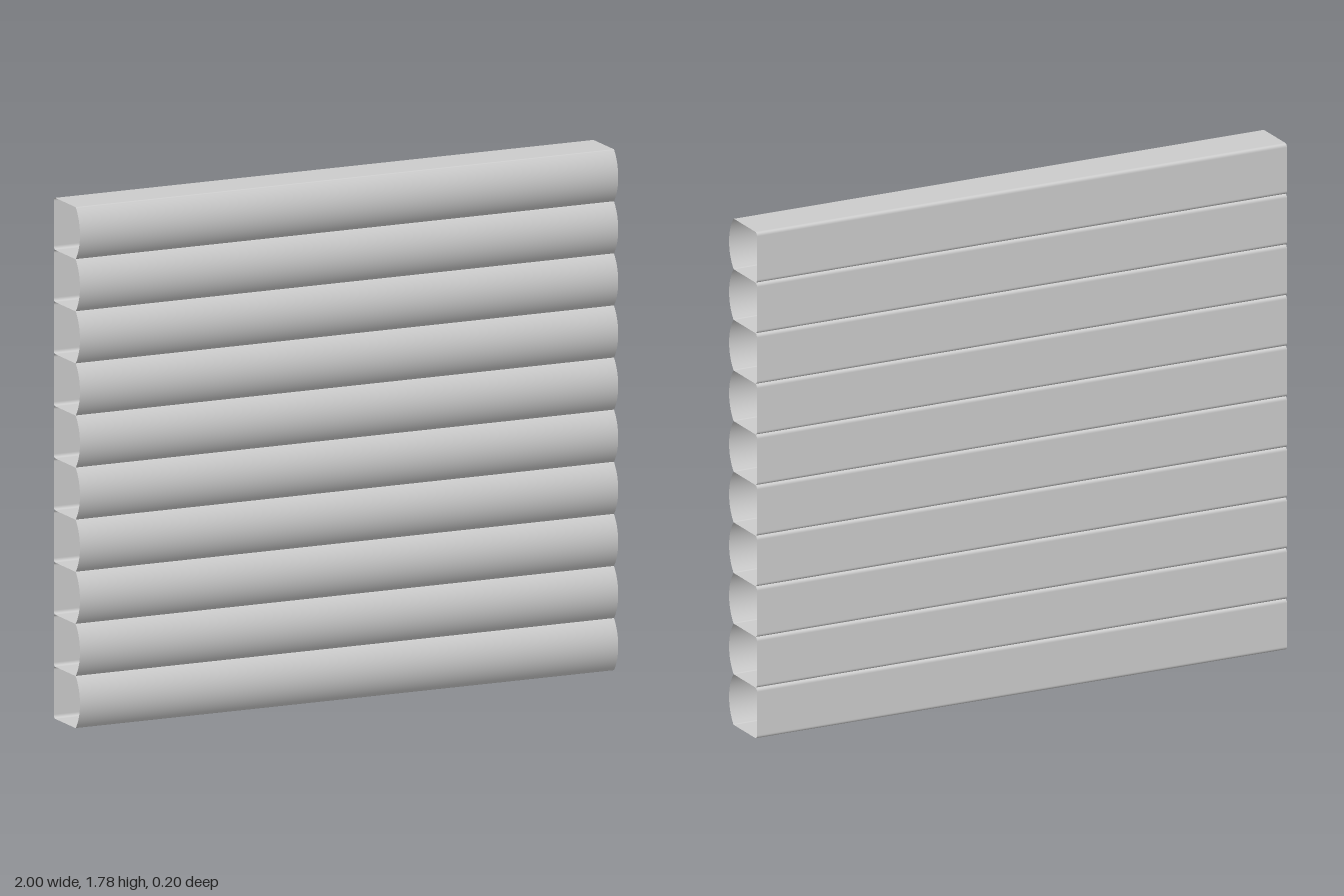
import * as THREE from 'three';

const COUNT = 10, PITCH = 0.1785, HALF = PITCH / 2, BACK = -0.1, R = 0.013;

// Closed slat cross-section: shape x is depth (z), shape y is height
function slatProfile() {
  const s = new THREE.Shape();
  const chord = HALF - 0.003, rise = 0.03;
  const radius = (chord * chord + rise * rise) / (2 * rise);
  const a = Math.asin(chord / radius);
  s.moveTo(BACK + R, -HALF);
  s.lineTo(0.064, -HALF);
  s.quadraticCurveTo(0.068, -HALF, 0.07, -chord);
  s.absarc(0.1 - radius, 0, radius, -a, a, false); // bulging front
  s.quadraticCurveTo(0.068, HALF, 0.064, HALF);
  s.lineTo(BACK + R, HALF);
  s.quadraticCurveTo(BACK, HALF, BACK, HALF - R);
  s.lineTo(BACK, -HALF + R);
  s.quadraticCurveTo(BACK, -HALF, BACK + R, -HALF);
  const pts = s.getPoints(10);
  // drop repeated points so the loop welds smoothly
  return pts.filter((p, i) => p.distanceTo(pts[(i + 1) % pts.length]) > 1e-5);
}

// Open-ended tube along x with the slat cross-section
function slatGeometry() {
  const profile = slatProfile(), n = profile.length;
  const positions = [], index = [];
  for (const p of profile) positions.push(-1, p.y, p.x, 1, p.y, p.x);
  for (let i = 0; i < n; i++) {
    const a = 2 * i, b = 2 * ((i + 1) % n);
    index.push(a, a + 1, b + 1, a, b + 1, b);
  }
  const g = new THREE.BufferGeometry();
  g.setAttribute('position', new THREE.Float32BufferAttribute(positions, 3));
  g.setIndex(index);
  g.computeVertexNormals();
  return g;
}

export function createModel() {
  const group = new THREE.Group();
  group.name = 'slattedPanel';
  const material = new THREE.MeshStandardMaterial({ color: 0xcccccc, side: THREE.DoubleSide });
  const geometry = slatGeometry();
  // Stack of identical hollow slats
  for (let i = 0; i < COUNT; i++) {
    const slat = new THREE.Mesh(geometry, material);
    slat.name = `slat${i + 1}`;
    slat.position.y = HALF + i * PITCH;
    group.add(slat);
  }
  return group;
}
